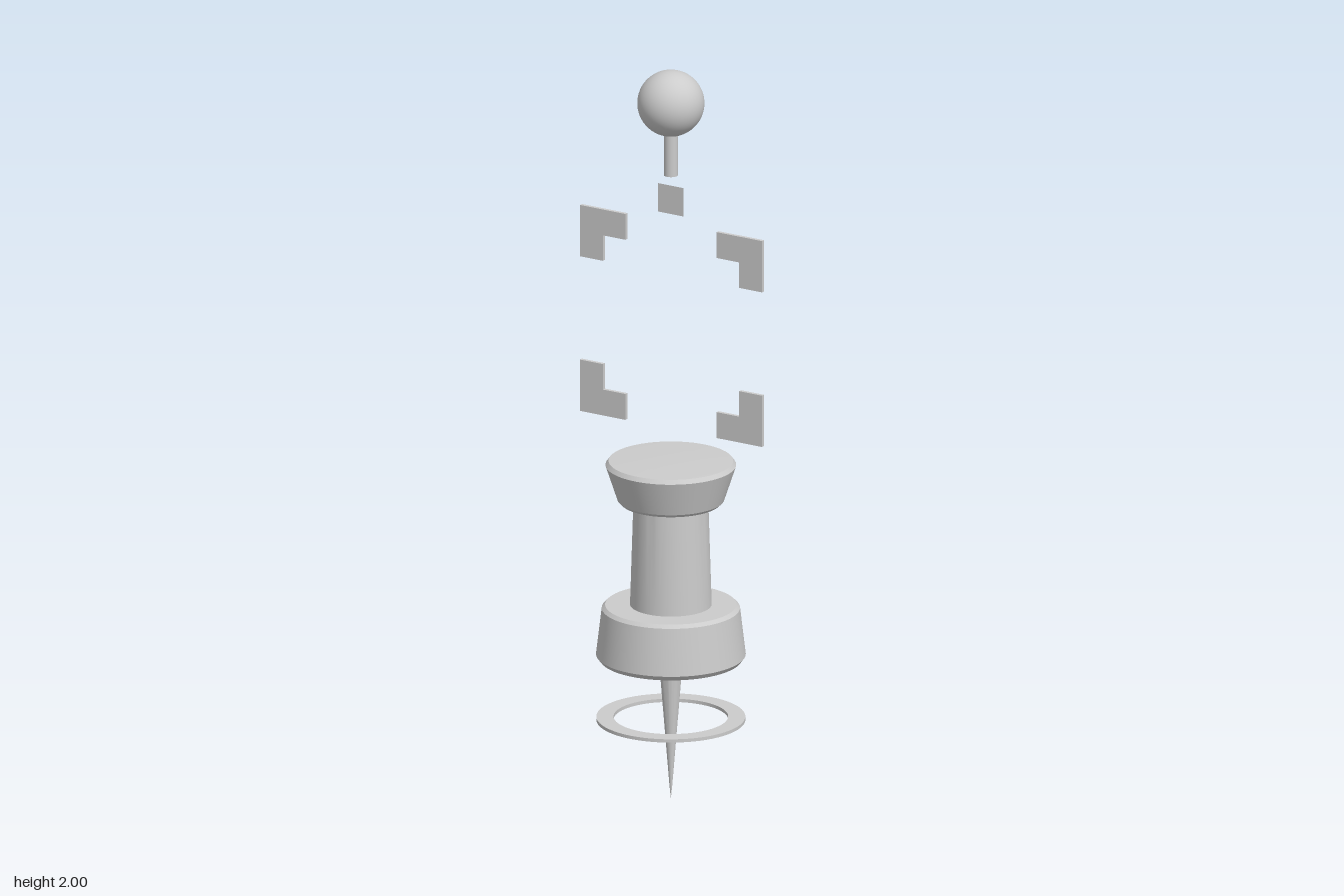
import * as THREE from 'three';
import { toCreasedNormals } from 'three/addons/utils/BufferGeometryUtils.js';

const grey = new THREE.MeshStandardMaterial({ color: 0xcccccc });
const greyDouble = new THREE.MeshStandardMaterial({ color: 0xcccccc, side: THREE.DoubleSide });

// Solid of revolution from [radius, height] pairs, listed bottom to top
function turned(name, profile) {
  const points = profile.map(([r, y]) => new THREE.Vector2(r, y));
  const geometry = toCreasedNormals(new THREE.LatheGeometry(points, 64), 0.4);
  const mesh = new THREE.Mesh(geometry, grey);
  mesh.name = name;
  return mesh;
}

// L-shaped corner of a square frame; sx and sy pick the corner
function frameCorner(name, sx, sy) {
  const out = 0.283, inner = 0.142, edge = 0.212;
  const corner = [[out, out], [inner, out], [inner, edge], [edge, edge], [edge, inner], [out, inner]];
  const shape = new THREE.Shape(corner.map(([x, y]) => new THREE.Vector2(x * sx, y * sy)));
  const geometry = new THREE.ExtrudeGeometry(shape, { depth: 0.01, bevelEnabled: false });
  const mesh = new THREE.Mesh(geometry, grey);
  mesh.name = name;
  mesh.position.set(0, 1.299, -0.0105);
  return mesh;
}

export function createModel() {
  const model = new THREE.Group();
  model.name = 'pushPin';

  // Pin body: needle, base, neck and slightly domed head
  const pin = new THREE.Group();
  pin.name = 'pin';
  pin.add(
    turned('needle', [[0, 0], [0.004, 0.04], [0.032, 0.39]]),
    turned('base', [[0, 0.385], [0.186, 0.385], [0.196, 0.398], [0.181, 0.525], [0.172, 0.534], [0, 0.536]]),
    turned('neck', [[0.107, 0.53], [0.098, 0.82]]),
    turned('head', [[0, 0.816], [0.132, 0.816], [0.14, 0.824], [0.171, 0.918], [0.163, 0.929], [0.09, 0.932], [0, 0.933]]),
  );
  model.add(pin);

  // Flat ring around the needle
  model.add(turned('ring', [[0.15, 0.217], [0.195, 0.217], [0.195, 0.226], [0.15, 0.226], [0.15, 0.217]]));

  // Four corners of the square frame
  const frame = new THREE.Group();
  frame.name = 'frame';
  for (const sx of [-1, 1]) {
    for (const sy of [-1, 1]) {
      frame.add(frameCorner(`${sy > 0 ? 'upper' : 'lower'}${sx > 0 ? 'Left' : 'Right'}Corner`, sx, sy));
    }
  }
  model.add(frame);

  // Small flat tile above the frame
  const tile = new THREE.Mesh(new THREE.PlaneGeometry(0.08, 0.078), greyDouble);
  tile.name = 'tile';
  tile.position.y = 1.646;
  model.add(tile);

  // Ball on a short stem
  const stem = new THREE.Mesh(new THREE.CylinderGeometry(0.0185, 0.0185, 0.13, 24), grey);
  stem.name = 'stem';
  stem.position.y = 1.779;
  const ball = new THREE.Mesh(new THREE.SphereGeometry(0.088, 48, 32), grey);
  ball.name = 'ball';
  ball.position.y = 1.912;
  model.add(stem, ball);

  return model;
}
